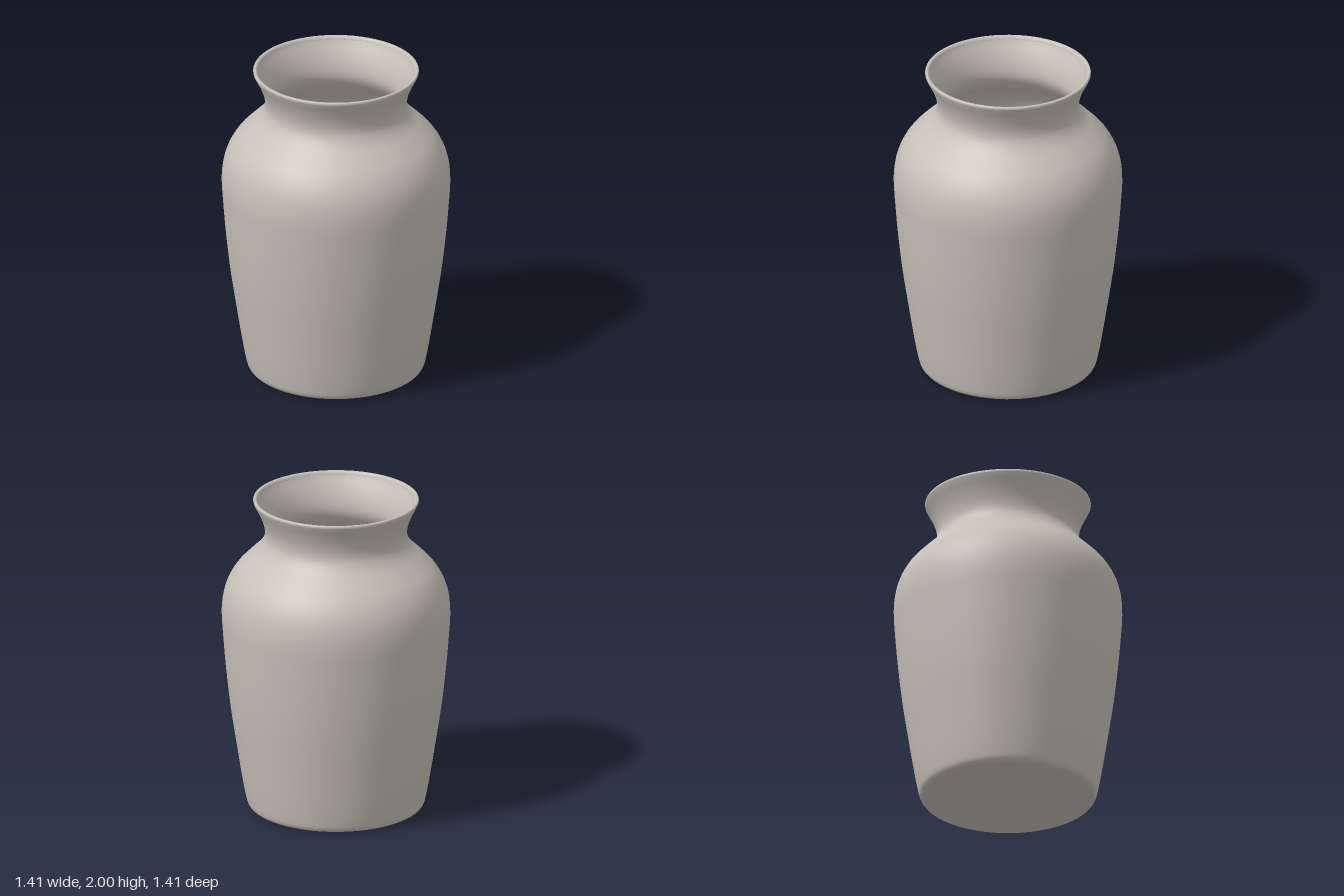
import * as THREE from 'three';

const SEGMENTS = 64;
const WALL = 0.025;

// Smooth curve through a few [radius, height] points
const smooth = (pts, n) =>
  new THREE.SplineCurve(pts.map(([r, y]) => new THREE.Vector2(r, y))).getPoints(n);

export function createModel() {
  const group = new THREE.Group();
  group.name = 'vase';
  const clay = new THREE.MeshStandardMaterial({ color: 0xc6c0b7 });
  clay.name = 'warm grey clay';

  const addLathe = (name, points) => {
    const mesh = new THREE.Mesh(new THREE.LatheGeometry(points, SEGMENTS), clay);
    mesh.name = name;
    group.add(mesh);
  };

  // Outer silhouette, from the foot to just under the lip
  const outer = smooth([
    [0.48, 0], [0.518, 0.005], [0.542, 0.025], [0.556, 0.075], [0.579, 0.2], [0.614, 0.42],
    [0.65, 0.66], [0.677, 0.9], [0.694, 1.1], [0.703, 1.25], [0.695, 1.36], [0.669, 1.45],
    [0.62, 1.535], [0.55, 1.61], [0.483, 1.675], [0.447, 1.73], [0.437, 1.78], [0.446, 1.84],
    [0.47, 1.905], [0.498, 1.96], [0.509, 1.984],
  ], 100);

  // Base with a shallow hollow in the middle
  const base = smooth([[0, 0.022], [0.15, 0.022], [0.27, 0.021], [0.33, 0.012], [0.4, 0.003]], 20);
  addLathe('body', [...base, ...outer]);

  // Lip: thin band, flat top and rounded inner edge
  addLathe('lip', [
    [0.509, 1.984], [0.51, 1.992], [0.508, 1.998], [0.504, 2], [0.495, 2],
    [0.489, 1.997], [0.485, 1.99], [0.482, 1.982],
  ].map(([r, y]) => new THREE.Vector2(r, y)));

  // Inner wall follows the outside at a constant thickness, then closes at the floor
  const inner = outer.filter((p) => p.y > 0.08).reverse()
    .map((p) => new THREE.Vector2(p.x - WALL, p.y));
  inner[0].set(0.482, 1.982);
  const floor = smooth([[0.52, 0.06], [0.49, 0.035], [0.42, 0.03], [0.2, 0.03], [0, 0.03]], 20);
  floor[floor.length - 1].x = 0;
  addLathe('interior', [...inner, ...floor]);

  return group;
}
